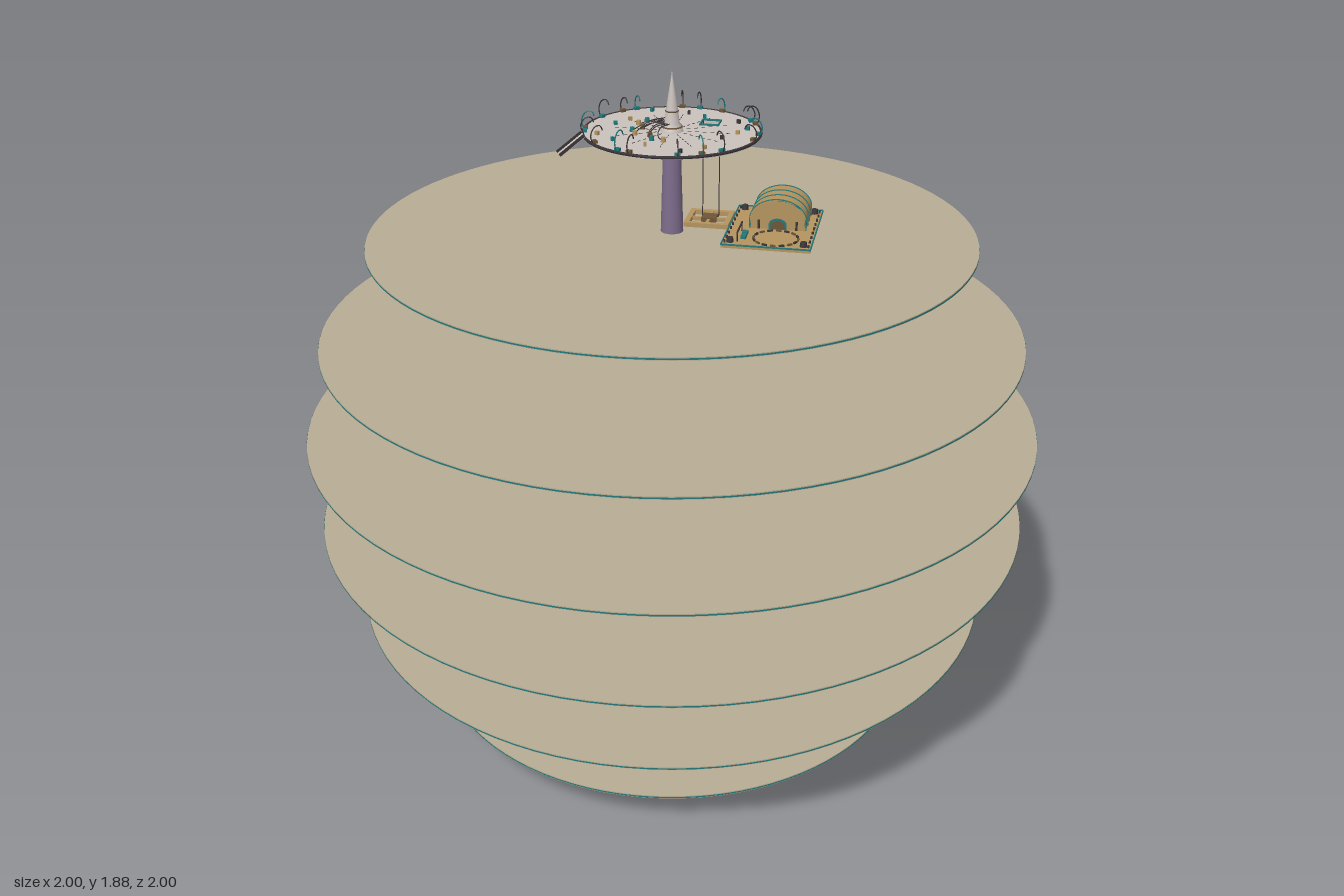
import * as THREE from 'three';

const mat = (name, color, side = THREE.FrontSide) => {
  const m = new THREE.MeshStandardMaterial({ color, side });
  m.name = name;
  return m;
};

export function createModel() {
  const sand = mat('sand', 0xb8ad94);
  const teal = mat('teal', 0x23797c, THREE.DoubleSide);
  const purple = mat('purple', 0x7d6c8c);
  const pale = mat('pale stone', 0xcac1bc);
  const ochre = mat('ochre', 0xb4945f);
  const brown = mat('brown', 0x6e5638);
  const dark = mat('dark', 0x3b3538);

  const model = new THREE.Group();
  model.name = 'discTower';
  const group = (name, x = 0, y = 0, z = 0, parent = model) => {
    const g = new THREE.Group();
    g.name = name;
    g.position.set(x, y, z);
    parent.add(g);
    return g;
  };
  const add = (parent, name, geo, m, x = 0, y = 0, z = 0) => {
    const mesh = new THREE.Mesh(geo, m);
    mesh.name = name;
    mesh.position.set(x, y, z);
    parent.add(mesh);
    return mesh;
  };
  const box = (p, n, m, w, h, d, x, y, z) => add(p, n, new THREE.BoxGeometry(w, h, d), m, x, y, z);
  const cyl = (p, n, m, rt, rb, h, x, y, z, s = 12) =>
    add(p, n, new THREE.CylinderGeometry(rt, rb, h, s), m, x, y, z);
  const tube = (p, n, m, pts, r, seg = 10) => add(p, n, new THREE.TubeGeometry(
    new THREE.CatmullRomCurve3(pts.map(a => new THREE.Vector3(...a))), seg, r, 5), m);

  // Central tapering column
  cyl(model, 'column', purple, 0.022, 0.073, 1.71, 0, 0.855, 0, 32);

  // Stacked floor discs, each with a thin rim band
  [[0.125, 0.69], [0.39, 0.887], [0.653, 0.982], [0.917, 1.0], [1.181, 0.943], [1.444, 0.8]]
    .forEach(([y, r]) => {
      const floor = group('floor', 0, y, 0);
      cyl(floor, 'floorDisc', sand, r - 0.001, r - 0.001, 0.008, 0, 0, 0, 96);
      add(floor, 'rimBand', new THREE.CylinderGeometry(r, r, 0.004, 96, 1, true), teal);
    });

  // Upper round deck, with a square lift opening
  const deck = group('upperDeck', 0, 1.71, 0);
  const R = 0.228;
  const plate = new THREE.Shape().absarc(0, 0, R, 0, Math.PI * 2);
  const hole = new THREE.Path();
  hole.moveTo(0.062, 0.064).lineTo(0.062, 0.11).lineTo(0.108, 0.11).lineTo(0.108, 0.064).closePath();
  plate.holes.push(hole);
  const plateGeo = new THREE.ExtrudeGeometry(plate, { depth: 0.008, bevelEnabled: false, curveSegments: 48 });
  plateGeo.rotateX(-Math.PI / 2);
  add(deck, 'deckPlate', plateGeo, pale);
  const edge = add(deck, 'deckEdge', new THREE.TorusGeometry(R, 0.004, 6, 64), dark, 0, 0.006, 0);
  edge.rotation.x = Math.PI / 2;

  // Radial dashes inlaid in the deck
  for (let i = 0; i < 12; i++) {
    const a = (i * Math.PI) / 6;
    for (let j = 0; j < 6; j++) {
      const r = 0.045 + j * 0.02;
      const x = Math.cos(a) * r, z = -Math.sin(a) * r;
      if (x > 0.055 && x < 0.115 && z < -0.057 && z > -0.117) continue;
      box(deck, 'deckDash', dark, 0.01, 0.001, 0.0015, x, 0.0085, z).rotation.y = a;
    }
  }

  // Hooked posts around the deck
  for (let i = 0; i < 18; i++) {
    const post = group('hookedPost', 0, 0, 0, deck);
    post.rotation.y = (i / 18) * Math.PI * 2 + 0.12 * Math.sin(i * 2.3);
    const h = 0.045 + 0.006 * Math.sin(i * 1.7);
    tube(post, 'hook', i % 3 ? dark : teal,
      [[R - 0.002, 0.005, 0], [R + 0.005, h * 0.6, 0], [R - 0.006, h + 0.004, 0], [R - 0.022, h + 0.006, 0], [R - 0.028, h - 0.006, 0]], 0.0017);
    box(post, 'postFoot', i % 2 ? brown : teal, 0.01, 0.008, 0.014, R - 0.006, 0.012, 0);
  }

  // Spire with stepped base
  add(deck, 'spire', new THREE.LatheGeometry(
    [[0.03, 0.008], [0.028, 0.016], [0.02, 0.03], [0.014, 0.075], [0.006, 0.125], [0.0025, 0.145], [0, 0.165]]
      .map(p => new THREE.Vector2(...p)), 12), pale);
  [[0.026, 0.02], [0.016, 0.06]].forEach(([r, y]) => {
    add(deck, 'spireCollar', new THREE.TorusGeometry(r, 0.002, 5, 16), brown, 0, y, 0).rotation.x = Math.PI / 2;
  });

  // Curved hoses sweeping out from the spire, ending in small drums
  for (let i = 0; i < 9; i++) {
    const hose = group('hose', 0, 0, 0, deck);
    hose.rotation.y = 2.0 + i * 0.32;
    const r = 0.075 + 0.03 * Math.abs(Math.sin(i * 2.1));
    tube(hose, 'hoseTube', dark, [[0.02, 0.03, 0], [r * 0.5, 0.028, 0.012], [r * 0.85, 0.016, 0.006], [r, 0.01, -0.012]], 0.0014);
    cyl(hose, 'hoseDrum', [brown, teal, ochre][i % 3], 0.006, 0.007, 0.012, r, 0.014, -0.014, 8);
  }

  // Small crates near the deck edge
  for (let i = 0; i < 14; i++) {
    const a = i * 2.4, r = 0.17 + 0.025 * Math.sin(i * 3);
    const x = Math.cos(a) * r, z = Math.sin(a) * r;
    box(deck, 'crate', [ochre, teal, dark][i % 3], 0.01, 0.01, 0.007, x, 0.013, z).rotation.y = a;
  }

  // Sloping chute hung off the deck
  const chute = group('chute', -0.237, 0.0, 0.128, deck);
  chute.rotation.set(0, 0.49, 0.62, 'YZX');
  box(chute, 'chuteFloor', pale, 0.08, 0.003, 0.03, 0, -0.008, 0);
  [-1, 1].forEach(s => box(chute, 'chuteSide', dark, 0.08, 0.008, 0.002, 0, -0.004, s * 0.015));

  // Lift: cables, opening frame and open lattice landing
  const lift = group('lift', 0.085, 1.448, -0.087);
  [-1, 1].forEach(s => {
    cyl(lift, 'cable', dark, 0.0014, 0.0014, 0.26, s * 0.022, 0.14, -0.02, 5);
    box(lift, 'openingFrame', teal, 0.05, 0.005, 0.003, 0, 0.272, s * 0.024);
    box(lift, 'openingFrame', teal, 0.003, 0.005, 0.05, s * 0.024, 0.272, 0);
    box(lift, 'landingBeam', ochre, 0.12, 0.012, 0.014, 0, 0.009, s * 0.052);
    box(lift, 'landingBeam', ochre, 0.014, 0.012, 0.09, s * 0.053, 0.009, 0);
  });
  box(lift, 'landingCrossbeam', ochre, 0.1, 0.01, 0.008, 0, 0.008, 0);
  box(lift, 'landingCrossbeam', ochre, 0.008, 0.01, 0.1, 0, 0.008, 0);
  box(lift, 'liftCage', brown, 0.04, 0.012, 0.04, 0, 0.01, -0.005);

  // Rectangular yard with edging, corner blocks and studs
  const yard = group('yard', 0.262, 1.448, -0.055);
  const W = 0.23, D = 0.312;
  box(yard, 'yardSlab', ochre, W, 0.008, D, 0, 0.004, 0);
  [-1, 1].forEach(s => {
    box(yard, 'yardEdge', teal, W, 0.004, 0.003, 0, 0.009, s * D / 2);
    box(yard, 'yardEdge', teal, 0.003, 0.004, D, s * W / 2, 0.009, 0);
    [-1, 1].forEach(t => cyl(yard, 'cornerLamp', dark, 0.008, 0.01, 0.014, s * 0.095, 0.014, t * 0.13, 8));
    for (let i = 0; i < 9; i++) box(yard, 'edgeStud', dark, 0.005, 0.008, 0.005, s * 0.108, 0.011, -0.136 + i * 0.034);
  });

  // Barrel-vaulted hall
  const hall = group('vaultedHall', 0.275, 1.454, -0.168);
  const arch = (w, wall, rise) => {
    const s = new THREE.Shape();
    s.moveTo(-w, 0).lineTo(w, 0).lineTo(w, wall);
    s.absellipse(0, wall, w, rise, 0, Math.PI, false);
    return s.lineTo(-w, 0);
  };
  const archGeo = (w, wall, rise, depth) =>
    new THREE.ExtrudeGeometry(arch(w, wall, rise), { depth, bevelEnabled: false, curveSegments: 20 });
  add(hall, 'hallBody', archGeo(0.074, 0.028, 0.054, 0.126), ochre);
  [0, 0.041, 0.082, 0.123].forEach(z => add(hall, 'roofRib', archGeo(0.076, 0.028, 0.056, 0.003), teal, 0, 0, z));
  [-0.001, 0.124].forEach(z => {
    add(hall, 'gable', archGeo(0.071, 0.028, 0.051, 0.004), ochre, 0, 0, z);
    add(hall, 'doorFrame', archGeo(0.024, 0.014, 0.018, 0.005), teal, 0, 0, z);
    add(hall, 'door', archGeo(0.018, 0.012, 0.014, 0.007), brown, 0, 0, z - 0.001);
    [-1, 1].forEach(s => box(hall, 'gablePost', dark, 0.006, 0.026, 0.01, s * 0.05, 0.013, z + 0.002));
  });

  // Dashed ring and gate in the forecourt
  const court = group('forecourt', 0.28, 1.457, 0.032);
  for (let i = 0; i < 16; i++) {
    const a = (i / 16) * Math.PI * 2;
    box(court, 'ringBlock', i % 2 ? dark : brown, 0.005, 0.005, 0.014,
      Math.cos(a) * 0.058, 0.001, Math.sin(a) * 0.058).rotation.y = -a;
  }
  const gate = group('sideFrame', 0.185, 1.456, 0.03);
  [-0.04, 0.04].forEach(z => box(gate, 'framePost', dark, 0.003, 0.024, 0.003, 0, 0.012, z));
  box(gate, 'frameBar', dark, 0.004, 0.003, 0.084, 0, 0.025, 0);
  [-0.02, 0.01].forEach(z => box(gate, 'bench', teal, 0.014, 0.008, 0.02, 0.012, 0.004, z));

  return model;
}
